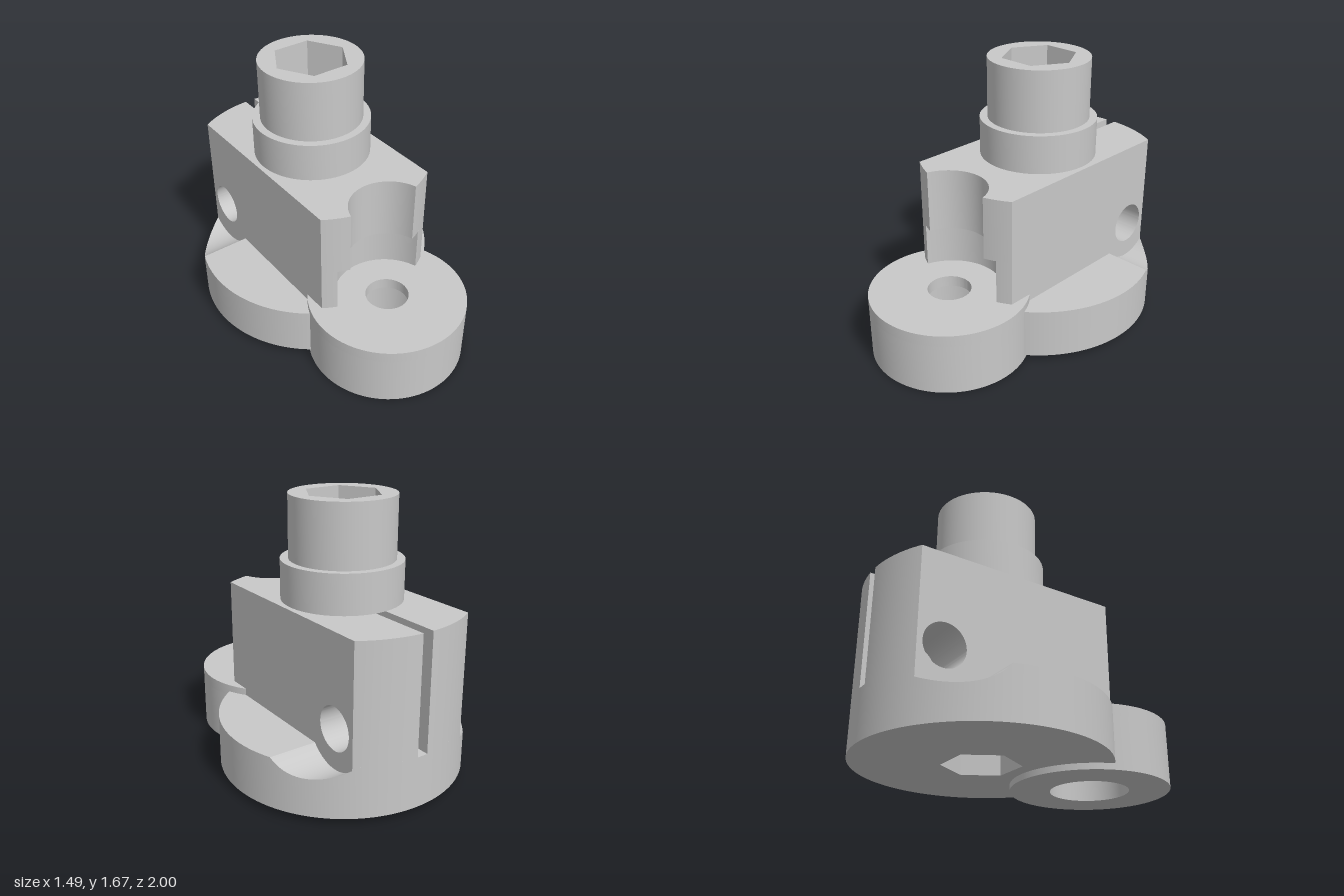
import * as THREE from 'three';
import { toCreasedNormals } from 'three/addons/utils/BufferGeometryUtils.js';

const BORE_Z = -0.255, R = 0.745;   // main round body
const EAR_Z = 0.514, EAR_R = 0.486; // front ear
const HALF = 0.392;                 // half width of the clamp block
const SLOT = 0.034, JOIN = -0.5;    // slot half width, where block halves meet the body
const HEX_R = 0.232, BOLT_Z = -0.725, BOLT_Y = 0.507;
const BASE_Y = 0.037, BASE_TOP = 0.347, STEP_Y = 0.667, BLOCK_TOP = 1.057;
const PI = Math.PI;

// Points on a circle in plan, as [x, z]
function arc(cz, r, a0, a1, n = 48) {
  return Array.from({ length: n + 1 }, (_, i) => {
    const a = a0 + (a1 - a0) * i / n;
    return [r * Math.cos(a), cz + r * Math.sin(a)];
  });
}
const circle = (cz, r, n = 96) => arc(cz, r, 0, 2 * PI * (1 - 1 / n), n - 1);
const hexagon = () => circle(BORE_Z, HEX_R, 6);
const toVectors = pts => pts.map(([x, z]) => new THREE.Vector2(x, -z));

// Plan outline raised from y0 to y1; the hole runs opposite to the outline
function prism(outline, y0, y1, hole) {
  const shape = new THREE.Shape(toVectors(outline));
  if (hole) shape.holes.push(new THREE.Path(toVectors(hole).reverse()));
  const g = new THREE.ExtrudeGeometry(shape, { depth: y1 - y0, bevelEnabled: false });
  return g.rotateX(-PI / 2).translate(0, y0, 0);
}

// Front body outline: sides, rounded front with pocket, hexagonal bore open to the slot
function bodyOutline(pocketR) {
  const d = EAR_Z - BORE_Z;
  const zi = (d * d + R * R - pocketR * pocketR) / (2 * d);
  const xi = Math.sqrt(R * R - zi * zi);
  const side = Math.acos(HALF / R), lip = Math.atan2(zi, xi);
  const p = Math.atan2(zi - d, xi);
  const flat = BORE_Z - HEX_R * Math.sqrt(3) / 2;
  return [
    [HALF, JOIN],
    ...arc(BORE_Z, R, side, lip, 8),
    ...arc(EAR_Z, pocketR, p, -PI - p, 40).slice(1, -1),
    ...arc(BORE_Z, R, PI - lip, PI - side, 8),
    [-HALF, JOIN], [-SLOT, JOIN], [-SLOT, flat],
    ...arc(BORE_Z, HEX_R, -2 * PI / 3, -7 * PI / 3, 5),
    [SLOT, flat], [SLOT, JOIN],
  ];
}

// Clamp jaw beside the slot, cross-drilled, with its back bent onto the round body
function jaw(side) {
  const shape = new THREE.Shape();
  shape.moveTo(-JOIN, BASE_TOP).lineTo(0.89, BASE_TOP);
  shape.lineTo(0.89, BLOCK_TOP).lineTo(-JOIN, BLOCK_TOP).closePath();
  const hole = new THREE.Path();
  hole.absarc(-BOLT_Z, BOLT_Y, 0.13, 0, 2 * PI, true);
  shape.holes.push(hole);
  const g = new THREE.ExtrudeGeometry(shape, {
    depth: HALF - SLOT, steps: 14, curveSegments: 48, bevelEnabled: false,
  });
  g.rotateY(PI / 2).translate(side > 0 ? SLOT : -HALF, 0, 0);
  const pos = g.attributes.position;
  for (let i = 0; i < pos.count; i++) {
    const x = pos.getX(i);
    if (pos.getZ(i) < -0.88) pos.setZ(i, BORE_Z - Math.sqrt(R * R - x * x));
  }
  return g;
}

// Side wing of the round base, scooped by a spotface around the bolt hole
function wing(side, scoopR) {
  const a0 = Math.acos(HALF / R), n = 96;
  const edgeZ = BOLT_Z + Math.sqrt(scoopR * scoopR - (BOLT_Y - BASE_TOP) ** 2);
  const angles = Array.from({ length: n + 1 }, (_, i) => -a0 + 2 * a0 * i / n);
  angles.push(Math.asin((edgeZ - BORE_Z) / R));
  angles.sort((a, b) => a - b);
  const rings = angles.map(a => {
    const x = R * Math.cos(a), z = BORE_Z + R * Math.sin(a);
    const q = scoopR * scoopR - (z - BOLT_Z) ** 2;
    const h = q > 0 ? Math.min(BASE_TOP, BOLT_Y - Math.sqrt(q)) : BASE_TOP;
    return [[HALF, BASE_Y], [x, BASE_Y], [x, h], [HALF, h]].map(([px, py]) => [side * px, py, z]);
  });
  const v = [];
  for (let i = 0; i + 1 < rings.length; i++) {
    for (let j = 0; j < 4; j++) {
      const k = (j + 1) % 4;
      const a = rings[i][j], b = rings[i][k], c = rings[i + 1][k], d = rings[i + 1][j];
      const quad = side > 0 ? [a, b, c, a, c, d] : [a, c, b, a, d, c];
      quad.forEach(p => v.push(...p));
    }
  }
  const g = new THREE.BufferGeometry();
  g.setAttribute('position', new THREE.Float32BufferAttribute(v, 3));
  return g;
}

export function createModel() {
  const group = new THREE.Group();
  const metal = new THREE.MeshStandardMaterial({ color: 0xc8c8c8 });
  metal.name = 'grey metal';
  const add = (name, geometry) => {
    const mesh = new THREE.Mesh(toCreasedNormals(geometry, 0.5), metal);
    mesh.name = name;
    group.add(mesh);
  };

  // Round base: centre strip plus two scooped wings
  const a = Math.acos(HALF / R), b = Math.acos(HALF / 0.45);
  const core = [...arc(BORE_Z, R, PI + a, 2 * PI - a), ...arc(EAR_Z, 0.45, -b, b - PI)];
  add('baseCore', prism(core, BASE_Y, BASE_TOP, hexagon()));
  add('leftBaseWing', wing(1, 0.2415));
  add('rightBaseWing', wing(-1, 0.27));

  // Front ear with a hole counterbored from below
  add('earCounterbore', prism(circle(EAR_Z, EAR_R), 0, 0.32, circle(EAR_Z, 0.24)));
  add('earTop', prism(circle(EAR_Z, EAR_R), 0.32, 0.39, circle(EAR_Z, 0.132)));

  // Clamp block with stepped front pocket and split back
  add('lowerBlock', prism(bodyOutline(0.322), BASE_TOP, STEP_Y));
  add('upperBlock', prism(bodyOutline(0.245), STEP_Y, BLOCK_TOP));
  add('leftJaw', jaw(1));
  add('rightJaw', jaw(-1));

  // Collar and neck around the hexagonal bore
  add('collar', prism(circle(BORE_Z, 0.361), BLOCK_TOP, 1.295, hexagon()));
  add('neck', prism(circle(BORE_Z, 0.313), 1.295, 1.67, hexagon()));

  return group;
}
